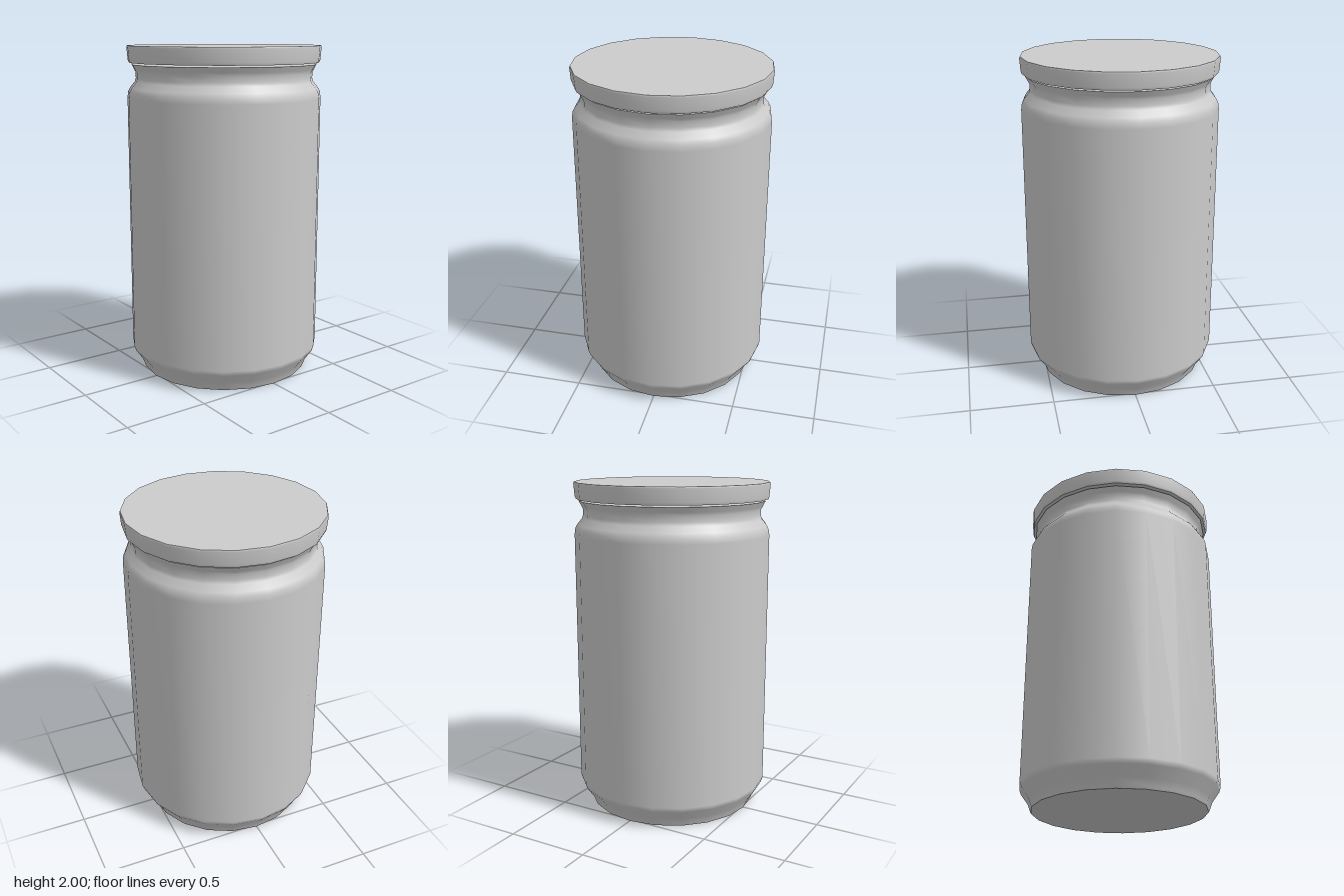
import * as THREE from 'three';

const SIDES = 20;
const material = new THREE.MeshStandardMaterial({ color: 0xcccccc });

// Smooth wall turned around the y axis from [radius, height] pairs, bottom to top
function wall(name, profile) {
  const points = profile.map(([r, y]) => new THREE.Vector2(r, y));
  const mesh = new THREE.Mesh(new THREE.LatheGeometry(points, SIDES), material);
  mesh.name = name;
  return mesh;
}

// Flat disc facing up (dir = 1) or down (dir = -1)
function disc(name, radius, y, dir) {
  const geometry = new THREE.CircleGeometry(radius, SIDES).rotateX(-dir * Math.PI / 2);
  const mesh = new THREE.Mesh(geometry, material);
  mesh.position.y = y;
  mesh.name = name;
  return mesh;
}

export function createModel() {
  const model = new THREE.Group();
  model.name = 'jar';

  // Body: tapered foot, straight side, shoulder, neck and flared rim
  const body = new THREE.Group();
  body.name = 'body';
  body.add(
    disc('base', 0.515, 0, -1),
    wall('bodyWall', [
      [0.515, 0], [0.522, 0.015], [0.537, 0.055], [0.58, 0.115], [0.59, 0.145],
      [0.59, 1.69], [0.585, 1.725], [0.572, 1.75], [0.543, 1.785],
      [0.537, 1.805], [0.537, 1.84], [0.547, 1.86], [0.563, 1.89],
    ]),
    disc('rim', 0.563, 1.89, 1),
  );

  // Lid: slightly flared skirt with a flat top
  const lid = new THREE.Group();
  lid.name = 'lid';
  lid.add(
    disc('lidUnderside', 0.578, 1.9, -1),
    wall('lidSkirt', [[0.578, 1.9], [0.584, 1.915], [0.59, 1.99], [0.586, 2]]),
    disc('lidTop', 0.586, 2, 1),
  );

  model.add(body, lid);
  return model;
}
